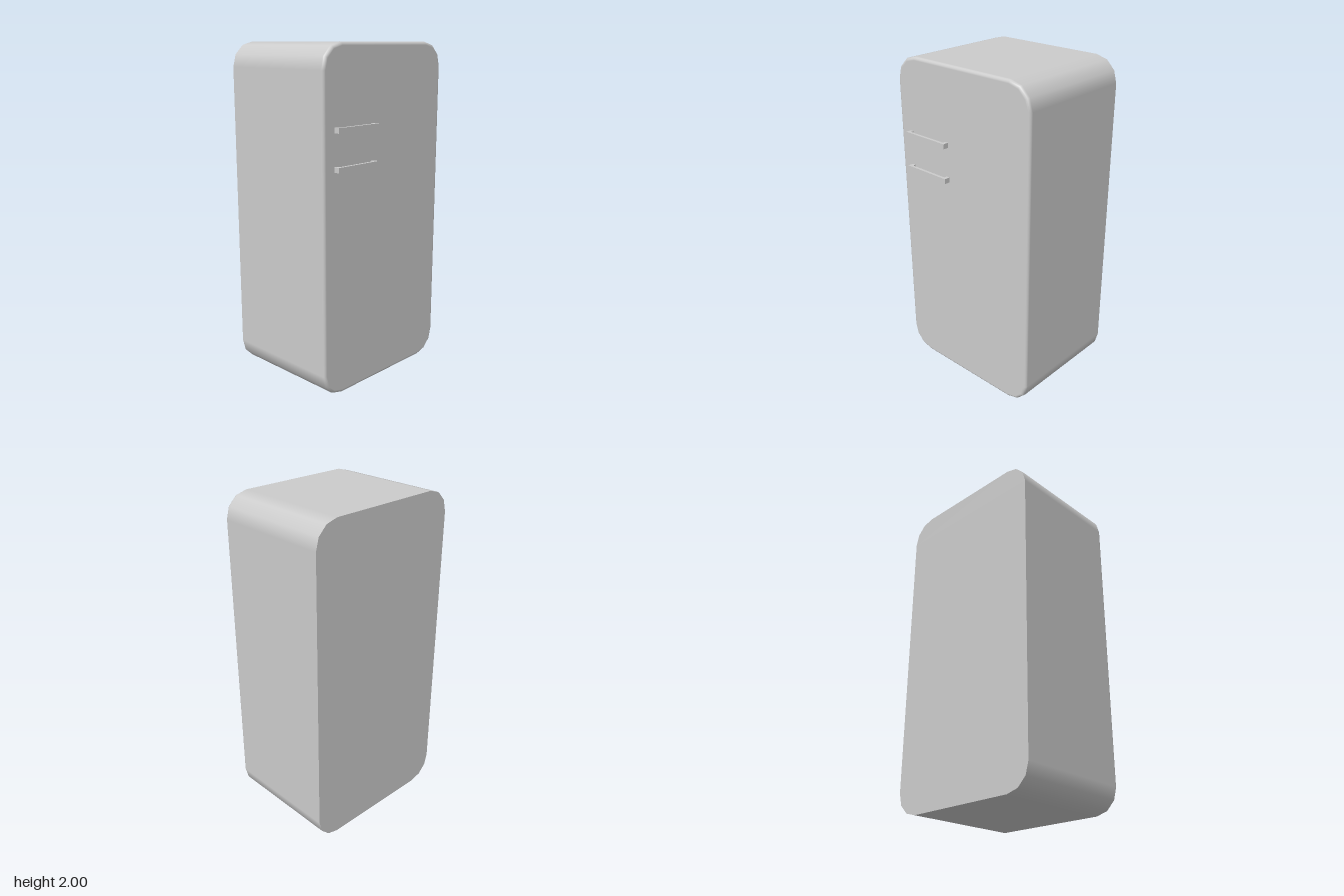
import * as THREE from 'three';

const material = new THREE.MeshStandardMaterial({ color: 0xcccccc });
const HALF_W = 0.5, HEIGHT = 2, RADIUS = 0.145, BACK = -0.39, FRONT = 0.355, BEVEL = 0.02;
const CORNER_STEPS = 3, BEVEL_STEPS = 4;

// Rounded-rectangle outline, counter-clockwise from the front: corner centre plus direction
function outline() {
  const points = [];
  const cx = HALF_W - RADIUS;
  const centres = [[cx, HEIGHT - RADIUS], [-cx, HEIGHT - RADIUS], [-cx, RADIUS], [cx, RADIUS]];
  centres.forEach(([x, y], k) => {
    for (let i = 0; i <= CORNER_STEPS; i++) {
      const a = (k + i / CORNER_STEPS) * Math.PI / 2;
      points.push({ x, y, dx: Math.cos(a), dy: Math.sin(a) });
    }
  });
  return points;
}

// Cabinet shell: sharp back edge, rounded front edge
function cabinetGeometry() {
  const loop = outline(), n = loop.length;
  const position = [], normal = [], index = [];
  const ring = (z, radius, side, nz) => {
    for (const p of loop) {
      position.push(p.x + p.dx * radius, p.y + p.dy * radius, z);
      normal.push(p.dx * side, p.dy * side, nz);
    }
  };
  ring(BACK, RADIUS, 0, -1); // back panel
  ring(BACK, RADIUS, 1, 0); // start of the sides
  for (let i = 0; i <= BEVEL_STEPS; i++) {
    const a = i / BEVEL_STEPS * Math.PI / 2;
    const c = Math.cos(a), s = Math.sin(a);
    ring(FRONT - BEVEL + BEVEL * s, RADIUS - BEVEL + BEVEL * c, c, s);
  }
  const last = 2 + BEVEL_STEPS;
  for (let r = 1; r < last; r++) {
    for (let j = 0; j < n; j++) {
      const k = (j + 1) % n;
      const a = r * n + j, b = r * n + k;
      index.push(a, b, b + n, a, b + n, a + n);
    }
  }
  // Flat back and front
  for (let j = 1; j < n - 1; j++) {
    index.push(0, j + 1, j);
    index.push(last * n, last * n + j, last * n + j + 1);
  }
  const g = new THREE.BufferGeometry();
  g.setAttribute('position', new THREE.Float32BufferAttribute(position, 3));
  g.setAttribute('normal', new THREE.Float32BufferAttribute(normal, 3));
  g.setIndex(index);
  return g;
}

// U-shaped pull handle, drawn from above and extruded downwards
function handleGeometry() {
  const x0 = -0.417, x1 = -0.1, leg = 0.023, front = 0.39, inner = 0.373;
  const shape = new THREE.Shape([
    [x0, FRONT], [x0 + leg, FRONT], [x0 + leg, inner], [x1 - leg, inner],
    [x1 - leg, FRONT], [x1, FRONT], [x1, front], [x0, front],
  ].map(([x, z]) => new THREE.Vector2(x, z)));
  const g = new THREE.ExtrudeGeometry(shape, { depth: 0.03, bevelEnabled: false });
  return g.rotateX(Math.PI / 2);
}

export function createModel() {
  const group = new THREE.Group();
  group.name = 'refrigerator';

  const cabinet = new THREE.Mesh(cabinetGeometry(), material);
  cabinet.name = 'cabinet';
  group.add(cabinet);

  // Upper and lower door handles
  const geometry = handleGeometry();
  for (const [name, top] of [['upperHandle', 1.557], ['lowerHandle', 1.345]]) {
    const handle = new THREE.Mesh(geometry, material);
    handle.name = name;
    handle.position.y = top;
    group.add(handle);
  }
  return group;
}
